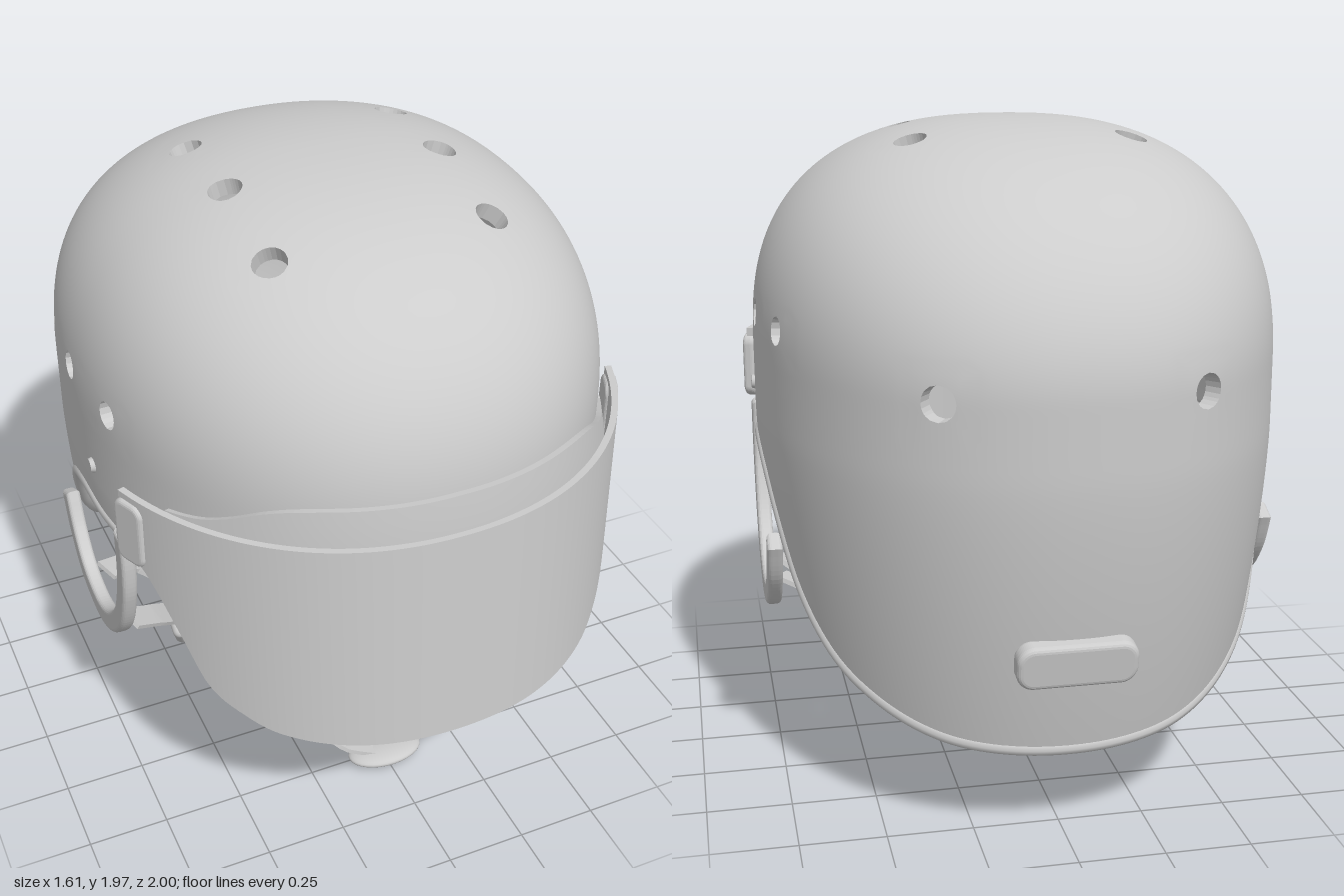
import * as THREE from 'three';
import { RoundedBoxGeometry } from 'three/addons/geometries/RoundedBoxGeometry.js';

const V = (x, y, z) => new THREE.Vector3(x, y, z);
const { lerp } = THREE.MathUtils;

// Plan outline is slightly squarer than an ellipse
const PLAN = 2.15;
const signedPow = (c, e) => Math.sign(c) * Math.pow(Math.abs(c), e);
const square = (c) => signedPow(c, 2 / PLAN);
const unsquare = (c) => signedPow(c, PLAN / 2);

// Smooth interpolation through [x, y] points sorted by ascending x
function interp(pts, x) {
  const n = pts.length;
  x = Math.min(Math.max(x, pts[0][0]), pts[n - 1][0]);
  let i = 0;
  while (i < n - 2 && x > pts[i + 1][0]) i++;
  const slope = (k) => {
    const p = pts[Math.max(0, k - 1)], q = pts[Math.min(n - 1, k + 1)];
    return (q[1] - p[1]) / (q[0] - p[0]);
  };
  const [x0, y0] = pts[i], [x1, y1] = pts[i + 1], d = x1 - x0, t = (x - x0) / d;
  const t2 = t * t, t3 = t2 * t;
  return (2 * t3 - 3 * t2 + 1) * y0 + (t3 - 2 * t2 + t) * d * slope(i)
    + (3 * t2 - 2 * t3) * y1 + (t3 - t2) * d * slope(i + 1);
}

// Gives an open surface a thickness and closes every open edge with a wall
function thicken(points, index, thickness) {
  const outer = new THREE.BufferGeometry().setFromPoints(points);
  outer.setIndex(index);
  outer.computeVertexNormals();
  const nrm = outer.attributes.normal, n = points.length;
  const inner = points.map((p, i) => p.clone().addScaledVector(V().fromBufferAttribute(nrm, i), -thickness));
  const all = [...points, ...inner], idx = [...index], edges = new Set();
  for (let i = 0; i < index.length; i += 3) {
    const t = [index[i], index[i + 1], index[i + 2]];
    idx.push(t[0] + n, t[2] + n, t[1] + n);
    for (let k = 0; k < 3; k++) edges.add(t[k] * n + t[(k + 1) % 3]);
  }
  for (const e of edges) {
    const a = Math.floor(e / n), b = e % n;
    if (edges.has(b * n + a)) continue;
    const m = all.length;
    all.push(points[a], points[b], inner[a], inner[b]);
    idx.push(m + 1, m, m + 2, m + 1, m + 2, m + 3);
  }
  const g = new THREE.BufferGeometry().setFromPoints(all);
  g.setIndex(idx);
  g.computeVertexNormals();
  return g;
}

// Thick plate from a function of u, v in 0..1
function plate(nu, nv, thickness, fn) {
  const pts = [], idx = [], w = nu + 1;
  for (let j = 0; j <= nv; j++) for (let i = 0; i <= nu; i++) pts.push(fn(i / nu, j / nv));
  for (let j = 0; j < nv; j++) for (let i = 0; i < nu; i++) {
    const a = j * w + i;
    idx.push(a, a + 1, a + w, a + 1, a + w + 1, a + w);
  }
  return thicken(pts, idx, thickness);
}

// Flat webbing along a path, its width as near to the z direction as possible
function strap(path, width) {
  const curve = new THREE.CatmullRomCurve3(path.map((p) => V(...p)), false, 'catmullrom', 0.2);
  return plate(40, 2, 0.014, (u, v) => {
    const t = curve.getTangentAt(u), side = V(0, 0, 1);
    side.addScaledVector(t, -side.dot(t)).normalize();
    return curve.getPointAt(u).addScaledVector(side, (v - 0.5) * width);
  });
}

// Flat shape given a depth and soft edges, centred on its own plane
function softExtrude(shape, depth, bevel) {
  const g = new THREE.ExtrudeGeometry(shape, {
    depth, bevelThickness: bevel, bevelSize: bevel, bevelSegments: 4, curveSegments: 8,
  });
  return g.translate(0, 0, -depth / 2);
}
function roundedPlate(w, h, corner, depth, bevel) {
  const shape = new THREE.Shape(), r = corner - bevel;
  [[1, 1], [-1, 1], [-1, -1], [1, -1]].forEach(([x, y], i) => {
    shape.absarc(x * (w / 2 - corner), y * (h / 2 - corner), r, (i * Math.PI) / 2, ((i + 1) * Math.PI) / 2);
  });
  return softExtrude(shape, depth, bevel);
}

// Shell surface: angle th runs from the front to +x, ph from the rim up to the crown
const BASE = 1.3, DOME = 0.68;
const RIM = [[-1, 0.29], [-0.9, 0.32], [-0.74, 0.395], [-0.575, 0.49], [-0.41, 0.64], [-0.27, 0.83],
  [-0.155, 0.95], [0, 1.01], [0.2, 1.0], [0.38, 1.0], [0.5, 1.04], [0.8, 1.13], [1, 1.17]];
function section(ph) {
  const y = BASE + DOME * (ph > 0 ? Math.sin(ph) : ph), h = Math.max(0, (y - BASE) / DOME);
  const drop = Math.pow(Math.max(0, BASE - y - 0.2) / 0.8, 1.5);
  const r = (size, n, taper) => size * (1 - taper * drop) * Math.pow(Math.max(0, 1 - Math.pow(h, n)), 1 / n);
  return { y, side: r(0.785, 2.5, 0.1), front: r(0.925, 2.25, 0.123), back: r(1, 2, 0.123) };
}
function shellPoint(th, ph) {
  const s = section(ph), c = square(Math.cos(th));
  return V(s.side * square(Math.sin(th)), s.y, (c > 0 ? s.front : s.back) * c);
}
const rimPh = (th) => (interp(RIM, square(Math.cos(th))) - BASE) / DOME;

// Vent centres, from side (y, z) or plan (x, z) positions
function ventAt(sx, y, z, r) {
  const ph = Math.asin((y - BASE) / DOME), s = section(ph), c = unsquare(z / (z > 0 ? s.front : s.back));
  return { th: Math.atan2(sx * Math.sqrt(1 - c * c), c), ph, r };
}
function crownVent(x, z, r) {
  let lo = 0, hi = Math.PI / 2, a, b;
  for (let i = 0; i < 40; i++) {
    const m = (lo + hi) / 2, s = section(m);
    a = unsquare(x / s.side);
    b = unsquare(z / (z > 0 ? s.front : s.back));
    if (Math.hypot(a, b) < 1) lo = m; else hi = m;
  }
  return { th: Math.atan2(a, b), ph: lo, r };
}

function shellGeometry() {
  // Rows follow the rim below SPLIT and are level above it
  const NU = 180, LOW = 26, HIGH = 59, NV = LOW + HIGH, TOP = Math.PI / 2, SPLIT = -0.15;
  const dTh = (2 * Math.PI) / NU, dPh = (TOP - SPLIT) / HIGH, vents = [];
  for (const s of [-1, 1]) {
    for (const z of [-0.235, 0.095, 0.42]) vents.push(crownVent(s * 0.33, z, 0.05));
    for (const z of [0.25, -0.045, -0.355]) vents.push(ventAt(s, 1.405, z, 0.042));
    vents.push(ventAt(s, 1.305, -0.905, 0.05));
  }
  for (const v of vents) {
    const p = shellPoint(v.th, v.ph), e = 1e-3;
    const du = shellPoint(v.th + e, v.ph).sub(p).divideScalar(e);
    const dv = shellPoint(v.th, v.ph + e).sub(p).divideScalar(e);
    v.lu = du.length();
    v.skew = dv.dot(du) / v.lu;
    v.lv = Math.sqrt(dv.lengthSq() - v.skew * v.skew);
    v.ku = Math.max(2, Math.round(v.r / (v.lu * dTh)));
    v.kv = Math.max(2, Math.round(v.r / (v.lv * dPh)));
    v.i = Math.round(v.th / dTh);
    v.j = LOW + Math.round((v.ph - SPLIT) / dPh);
  }
  const offset = (v, i, j) => {
    const di = ((i - v.i + NU * 2.5) % NU) - NU / 2;
    return [di / v.ku, (j - v.j) / v.kv];
  };
  const pts = [], idx = [];
  for (let j = 0; j < NV; j++) for (let i = 0; i < NU; i++) {
    let th = i * dTh, ph = j < LOW ? lerp(rimPh(th), SPLIT, j / LOW) : SPLIT + (j - LOW) * dPh;
    // Bend the grid round each vent so its edge is a true circle
    for (const v of vents) {
      const [a, b] = offset(v, i, j), k = Math.max(Math.abs(a), Math.abs(b));
      if (k >= 2) continue;
      const w = Math.min(1, 2 - k), ang = Math.atan2(b, a);
      const dp = (v.r * Math.sin(ang)) / v.lv, dt = (v.r * Math.cos(ang) - dp * v.skew) / v.lu;
      th = lerp((v.i + a * v.ku) * dTh, v.th + dt, w);
      ph = lerp(ph, v.ph + dp, w);
    }
    pts.push(shellPoint(th, ph));
  }
  const pole = pts.push(V(0, BASE + DOME, 0)) - 1;
  for (let j = 0; j < NV; j++) for (let i = 0; i < NU; i++) {
    const open = vents.some((v) => offset(v, i + 0.5, j + 0.5).every((d) => Math.abs(d) < 1));
    if (open) continue;
    const a = j * NU + i, b = j * NU + ((i + 1) % NU);
    if (j === NV - 1) idx.push(a, b, pole);
    else idx.push(a, b, a + NU, b, b + NU, a + NU);
  }
  return thicken(pts, idx, 0.05);
}

export function createModel() {
  const group = new THREE.Group();
  const grey = new THREE.MeshStandardMaterial({ color: 0xcccccc });
  grey.name = 'plain grey';
  const add = (name, geometry, x = 0, y = 0, z = 0, rx = 0, ry = 0, rz = 0) => {
    const m = new THREE.Mesh(geometry, grey);
    m.name = name;
    m.position.set(x, y, z);
    m.rotation.set(rx, ry, rz);
    group.add(m);
  };

  // Shell with vents and the bead along its rim
  add('shell', shellGeometry());
  const rim = Array.from({ length: 120 }, (_, i) => {
    const th = (i / 120) * Math.PI * 2, p = shellPoint(th, rimPh(th));
    return V(p.x * 0.985, p.y, p.z * 0.985);
  });
  add('rimBead', new THREE.TubeGeometry(new THREE.CatmullRomCurve3(rim, true), 240, 0.021, 8, true));

  // Visor and the brow band behind its upper edge
  const visorEdge = [[0, 0.58], [0.3, 0.585], [0.49, 0.61], [0.57, 0.65], [0.645, 0.72], [0.694, 0.86], [0.75, 1.02], [0.8, 1.1]];
  add('visor', plate(96, 12, 0.02, (u, v) => {
    const a = (u * 2 - 1) * 1.16, x = 0.855 * square(Math.sin(a));
    const y = lerp(interp(visorEdge, Math.abs(x)), 1.27, v);
    return V(x, y, square(Math.cos(a)) * (0.97 + 0.03 * (1.27 - y) / 0.69));
  }));
  const browEdge = [[0, 1.385], [0.3, 1.38], [0.42, 1.37], [0.5, 1.345], [0.58, 1.295], [0.63, 1.265], [0.72, 1.23]];
  add('browBand', plate(64, 6, 0.045, (u, v) => {
    const a = (u * 2 - 1) * 1.02, x = (0.82 - 0.02 * v) * square(Math.sin(a));
    const y = lerp(1.15, interp(browEdge, Math.abs(x)), v);
    return V(x, y, square(Math.cos(a)) * (0.955 - 0.014 * v * v));
  }));

  // Ear loop: a band of even width along a path in the side plane (z, y)
  const loopCurve = new THREE.SplineCurve([[0.33, 1.03], [0.33, 0.93], [0.31, 0.81], [0.25, 0.67], [0.14, 0.56],
    [0.01, 0.515], [-0.14, 0.545], [-0.24, 0.64], [-0.295, 0.75]].map((p) => new THREE.Vector2(...p)));
  const loopSide = (d) => Array.from({ length: 61 }, (_, i) => {
    const t = loopCurve.getTangentAt(i / 60);
    return loopCurve.getPointAt(i / 60).add(new THREE.Vector2(-t.y, t.x).multiplyScalar(d));
  });
  const loopShape = new THREE.Shape([...loopSide(-0.022), ...loopSide(0.022).reverse()]);
  const loopGeometry = softExtrude(loopShape, 0.018, 0.014).rotateY(-Math.PI / 2);

  const lugGeometry = roundedPlate(0.112, 0.212, 0.036, 0.014, 0.014);
  for (const s of [-1, 1]) {
    const side = s > 0 ? 'left' : 'right';
    add(side + 'VisorLug', lugGeometry, s * 0.765, 1.145, 0.45, 0, s * 1.15, 0);
    add(side + 'VisorBracket', new RoundedBoxGeometry(0.04, 0.15, 0.07, 2, 0.012), s * 0.742, 1.095, 0.4);
    const rivet = new THREE.CylinderGeometry(0.02, 0.026, 0.02, 20);
    add(side + 'Rivet', rivet, s * 0.782, 1.155, 0.12, 0, 0, -s * Math.PI / 2);
    add(side + 'EarLoop', loopGeometry, s * 0.762);

    // Webbing: two upper straps meet at the buckle, one runs on to the chin
    const m = (pts) => pts.map(([x, y, z]) => [x * s, y, z]);
    add(side + 'FrontStrap', strap(m([[0.73, 0.57, 0.17], [0.63, 0.5, 0.11], [0.54, 0.42, 0.04], [0.51, 0.33, -0.03]]), 0.085));
    add(side + 'RearStrap', strap(m([[0.73, 0.58, -0.07], [0.63, 0.54, -0.12], [0.54, 0.45, -0.12], [0.51, 0.38, -0.08], [0.48, 0.27, 0]]), 0.085));
    add(side + 'Buckle', new RoundedBoxGeometry(0.06, 0.135, 0.125, 3, 0.025), s * 0.5, 0.3, -0.05, 0.6, 0, -s * 0.25);
    add(side + 'ChinStrap', strap(m([[0.48, 0.25, -0.02], [0.42, 0.18, 0.05], [0.4, 0.24, 0.13], [0.36, 0.235, 0.2],
      [0.28, 0.17, 0.31], [0.13, 0.07, 0.47], [0, 0.035, 0.52]]), 0.09));
  }

  // Chin pad
  const pad = new THREE.SphereGeometry(1, 32, 16);
  pad.scale(0.125, 0.026, 0.08);
  add('chinPad', pad, 0, 0.035, 0.52, -0.12);

  // Raised plate low on the back
  add('backPlate', roundedPlate(0.34, 0.13, 0.05, 0.03, 0.016), 0, 0.58, -0.945, -0.17);
  return group;
}
